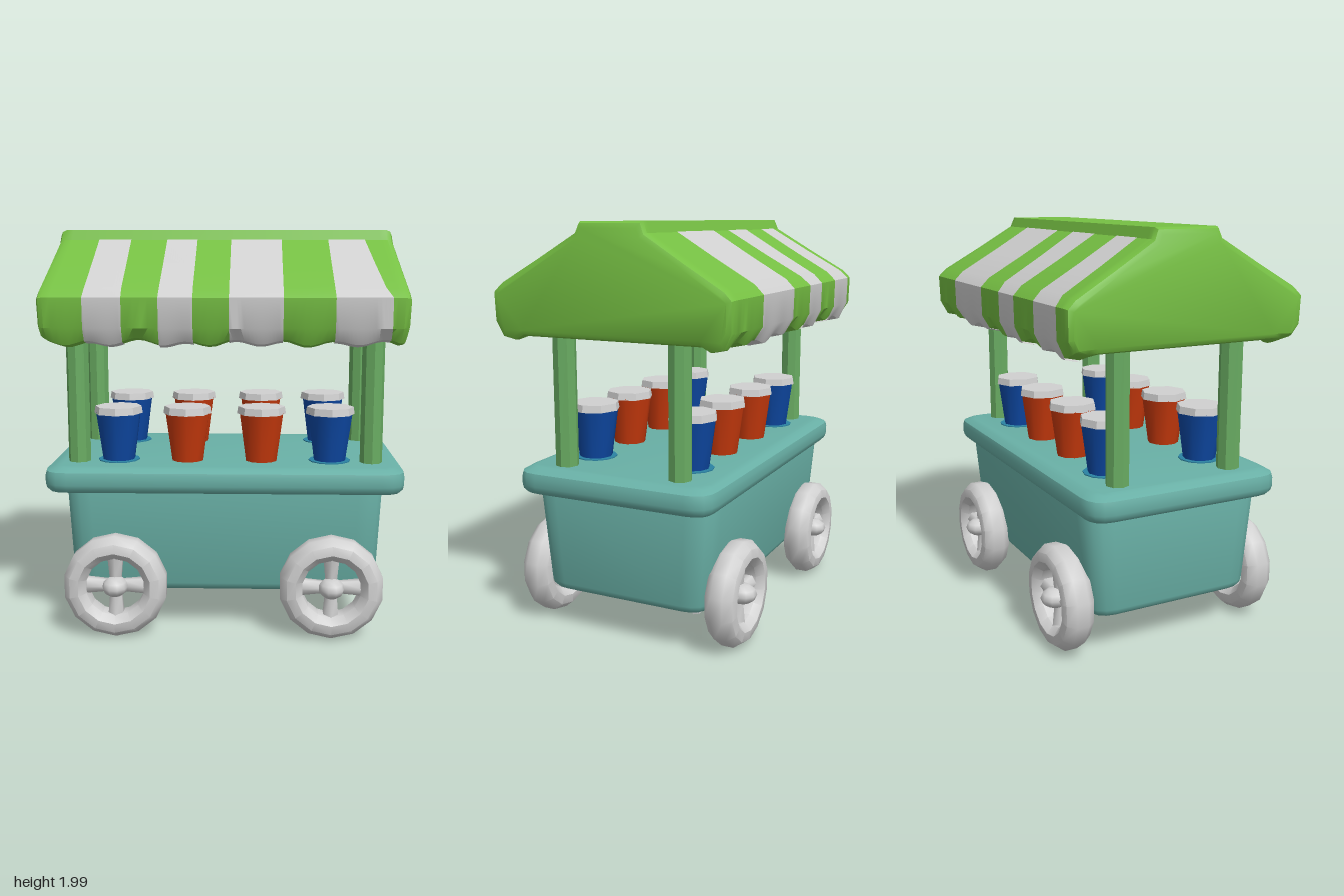
import * as THREE from 'three';
import { toCreasedNormals } from 'three/addons/utils/BufferGeometryUtils.js';

const mat = (name, color, side = THREE.FrontSide) => {
  const m = new THREE.MeshStandardMaterial({ color, side });
  m.name = name;
  return m;
};

// Move every vertex of a geometry by a rule
function reshape(geo, rule) {
  const p = geo.attributes.position, v = new THREE.Vector3();
  for (let i = 0; i < p.count; i++) {
    rule(v.fromBufferAttribute(p, i));
    p.setXYZ(i, v.x, v.y, v.z);
  }
  return geo;
}

// Upright slab with rounded corners and soft top and bottom edges
function roundedSlab(w, d, r, y0, y1, bevel) {
  const s = new THREE.Shape(), x = w / 2, y = d / 2;
  s.moveTo(-x + r, -y);
  s.lineTo(x - r, -y); s.quadraticCurveTo(x, -y, x, -y + r);
  s.lineTo(x, y - r); s.quadraticCurveTo(x, y, x - r, y);
  s.lineTo(-x + r, y); s.quadraticCurveTo(-x, y, -x, y - r);
  s.lineTo(-x, -y + r); s.quadraticCurveTo(-x, -y, -x + r, -y);
  const geo = new THREE.ExtrudeGeometry(s, {
    depth: y1 - y0 - 2 * bevel, curveSegments: 4, bevelSegments: 3,
    bevelSize: bevel, bevelThickness: bevel, bevelOffset: -bevel,
  });
  return geo.rotateX(-Math.PI / 2).translate(0, y0 + bevel, 0);
}

// Front half of the roof section as [z, y], ridge to inner edge of the eave
const ROOF = [[0.16, 2], [0.18, 1.95], [0.38, 1.83], [0.57, 1.72], [0.61, 1.68],
  [0.607, 1.54], [0.57, 1.475], [0.5, 1.46], [0.45, 1.475]];

// Wavy lower hem along the eaves
const hem = (v) => {
  if (v.y < 1.5 && Math.abs(v.z) > 0.47) {
    v.y += 0.012 * Math.sin(v.x * 27) + 0.006 * Math.sin(v.x * 11);
  }
};

function roofGeometry() {
  const outline = [...ROOF, ...ROOF.map(([z, y]) => [-z, y]).reverse()];
  const shape = new THREE.Shape(outline.map(([z, y]) => new THREE.Vector2(z, y)));
  const geo = new THREE.ExtrudeGeometry(shape, {
    depth: 1.68, steps: 48, bevelSegments: 2,
    bevelSize: 0.03, bevelThickness: 0.03, bevelOffset: -0.03,
  });
  geo.rotateY(Math.PI / 2).translate(-0.84, 0, 0);
  reshape(geo, (v) => {
    hem(v);
    v.x *= 1 - 0.05 * Math.max(0, (v.y - 1.65) / 0.35) - 0.15 * Math.max(0, 1.6 - v.y);
  });
  return toCreasedNormals(geo, 0.6);
}

// Thin ribbon over the roof: [left at ridge, right at ridge, left at eave, right at eave]
function stripeGeometry([a, b, c, d], side) {
  const rows = [[0.186, 1.947], ...ROOF.slice(2, 8)], n = 14, pos = [], index = [];
  const v = new THREE.Vector3();
  rows.forEach(([z, y], i) => {
    const p = rows[Math.max(0, i - 1)], q = rows[Math.min(rows.length - 1, i + 1)];
    const dz = q[0] - p[0], dy = q[1] - p[1], len = Math.hypot(dz, dy);
    const t = Math.min(1, i / 3);
    const x0 = a + (c - a) * t, x1 = b + (d - b) * t;
    for (let j = 0; j <= n; j++) {
      v.set(x0 + (x1 - x0) * j / n, y, z);
      hem(v);
      pos.push(v.x, v.y + 0.007 * dz / len, side * (v.z - 0.007 * dy / len));
      if (i && j) {
        const k = i * (n + 1) + j, up = k - n - 1;
        if (side > 0) index.push(up - 1, k - 1, k, up - 1, k, up);
        else index.push(up - 1, k, k - 1, up - 1, up, k);
      }
    }
  });
  const geo = new THREE.BufferGeometry();
  geo.setAttribute('position', new THREE.Float32BufferAttribute(pos, 3));
  geo.setIndex(index);
  return toCreasedNormals(geo, 0.6);
}

export function createModel() {
  const leaf = mat('awning green', 0x76c043);
  const white = mat('soft white', 0xd0d0d0, THREE.DoubleSide);
  const teal = mat('cart teal', 0x69b0a6);
  const postGreen = mat('post green', 0x69ac62);
  const blue = mat('cup blue', 0x0d47a1);
  const red = mat('cup red', 0xc4380c);
  const ringBlue = mat('counter blue', 0x2b83a3);

  const model = new THREE.Group();
  model.name = 'snackCart';
  const add = (parent, name, geo, material, x = 0, y = 0, z = 0) => {
    const m = new THREE.Mesh(geo, material);
    m.name = name;
    m.position.set(x, y, z);
    parent.add(m);
    return m;
  };

  // Tapered cart body and counter
  const body = reshape(roundedSlab(1.58, 0.96, 0.13, 0.21, 0.77, 0.04), (v) => {
    const t = Math.min(1, (0.77 - v.y) / 0.56);
    v.x *= 1 - 0.03 * t;
    v.z *= 1 - 0.1 * t;
  });
  add(model, 'cartBody', toCreasedNormals(body, 0.7), teal);
  const counter = reshape(roundedSlab(1.78, 1.02, 0.12, 0.72, 0.85, 0.045), (v) => {
    if (v.y > 0.84) { v.x *= 0.975; v.z *= 0.98; }
  });
  add(model, 'counter', toCreasedNormals(counter, 0.7), teal);

  // Corner posts
  const postGeo = toCreasedNormals(new THREE.CylinderGeometry(0.056, 0.056, 0.7, 8), 0.6);
  for (const x of [-0.735, 0.735]) {
    for (const z of [-0.303, 0.303]) add(model, 'post', postGeo, postGreen, x, 1.17, z);
  }

  // Awning with stripes on both slopes
  add(model, 'awning', roofGeometry(), leaf);
  const frontStripes = [[-0.63, -0.47, -0.65, -0.47], [-0.29, -0.14, -0.3, -0.14],
    [0.03, 0.28, 0.03, 0.28], [0.51, 0.69, 0.52, 0.78]];
  const backStripes = [[-0.7, -0.51, -0.77, -0.53], [-0.29, -0.05, -0.3, -0.11],
    [0.13, 0.535, 0.13, 0.535]];
  frontStripes.forEach((s) => add(model, 'frontStripe', stripeGeometry(s, 1), white));
  backStripes.forEach((s) => add(model, 'backStripe', stripeGeometry(s, -1), white));

  // Two rows of lidded cups
  const cupGeo = toCreasedNormals(new THREE.CylinderGeometry(0.114, 0.08, 0.25, 10), 0.7);
  const lidGeo = toCreasedNormals(new THREE.CylinderGeometry(0.117, 0.123, 0.036, 8), 0.6);
  const ringGeo = new THREE.CylinderGeometry(0.105, 0.105, 0.006, 12);
  for (const z of [-0.267, 0.267]) {
    [-0.54, -0.19, 0.185, 0.53].forEach((x, i) => {
      const outer = i === 0 || i === 3, cup = new THREE.Group();
      cup.name = 'cup';
      cup.position.set(x, 0, z);
      add(cup, 'cupBody', cupGeo, outer ? blue : red, 0, 0.97, 0);
      add(cup, 'cupLid', lidGeo, white, 0, 1.108, 0);
      if (outer) add(cup, 'cupRing', ringGeo, ringBlue, 0, 0.852, 0);
      model.add(cup);
    });
  }

  // Wheels: rounded tyre, four spokes and a bulging hub
  const section = [[0.145, -0.04], [0.18, -0.075], [0.225, -0.07], [0.257, -0.03], [0.257, 0.03],
    [0.225, 0.07], [0.18, 0.075], [0.145, 0.04], [0.145, -0.04]];
  const tyreGeo = toCreasedNormals(new THREE.LatheGeometry(
    section.map(([r, y]) => new THREE.Vector2(r, y)), 14).rotateX(Math.PI / 2), 0.8);
  const spokeGeo = toCreasedNormals(new THREE.CylinderGeometry(0.045, 0.032, 0.13, 6), 1.2);
  spokeGeo.translate(0, 0.1, 0);
  const hubGeo = new THREE.SphereGeometry(1, 10, 6).scale(0.065, 0.05, 0.075);
  for (const x of [-0.535, 0.53]) {
    for (const side of [-1, 1]) {
      const wheel = new THREE.Group();
      wheel.name = 'wheel';
      wheel.position.set(x, 0.263, side * 0.502);
      add(wheel, 'tyre', tyreGeo, white);
      add(wheel, 'hub', hubGeo, white, 0, 0, side * 0.025);
      for (let i = 0; i < 4; i++) add(wheel, 'spoke', spokeGeo, white).rotation.z = i * Math.PI / 2;
      model.add(wheel);
    }
  }

  // Small brackets under the body
  for (const [x, z] of [[-0.53, 0.1], [0.53, -0.29]]) {
    add(model, 'bracket', new THREE.BoxGeometry(0.1, 0.1, 0.025), white, x, 0.18, z).rotation.x = 0.3;
    add(model, 'bracketFoot', new THREE.BoxGeometry(0.07, 0.02, 0.06), white, x, 0.14, z);
  }
  return model;
}
